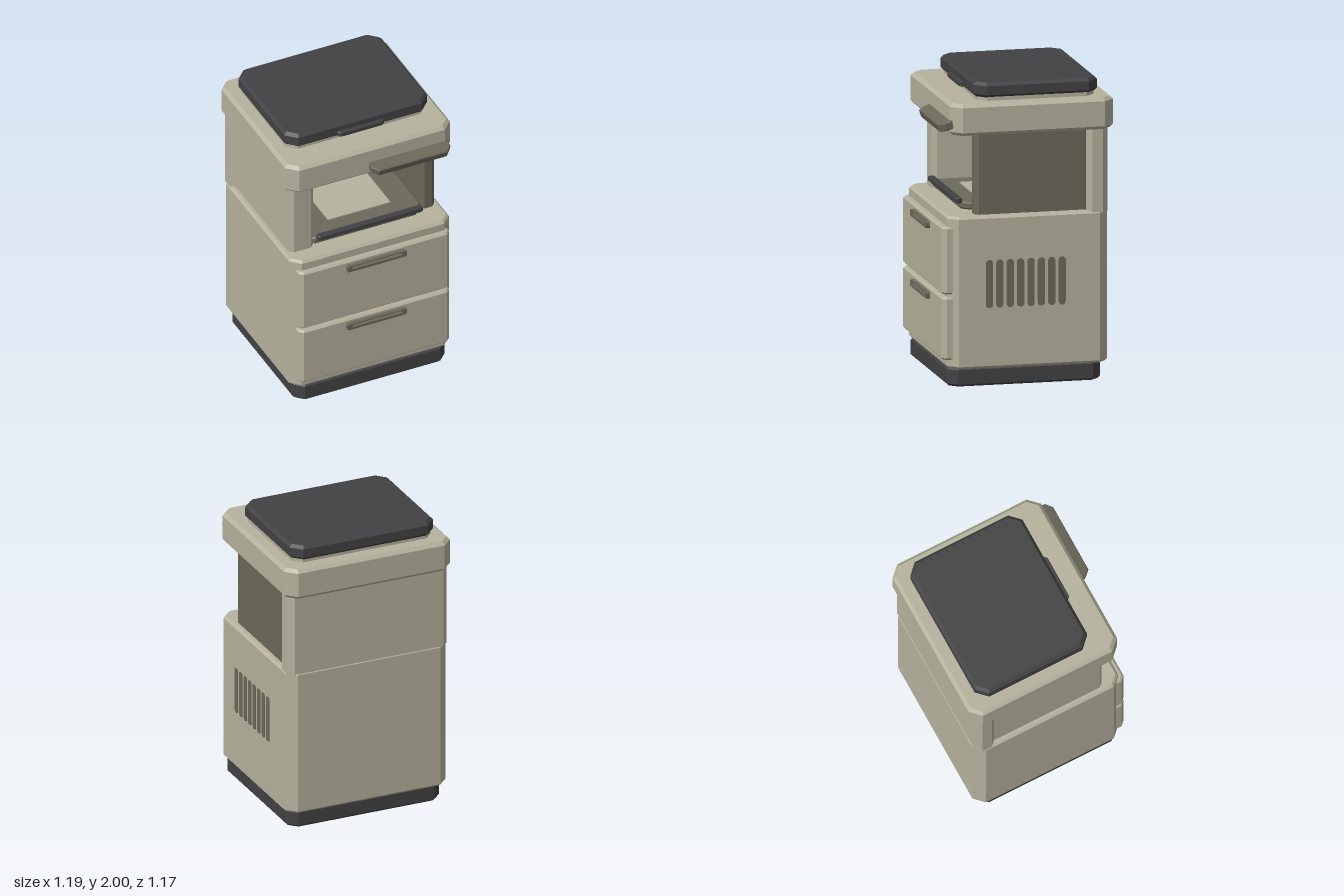
import * as THREE from 'three';

const beige = new THREE.MeshStandardMaterial({ color: 0xb6b29e });
beige.name = 'warm beige';
const olive = new THREE.MeshStandardMaterial({ color: 0x6c695a });
olive.name = 'dark olive grey';
const charcoal = new THREE.MeshStandardMaterial({ color: 0x424244 });
charcoal.name = 'charcoal';

// Rectangle with cut corners
function cutRect(x0, x1, y0, y1, c, Type = THREE.Shape) {
  const s = new Type();
  s.moveTo(x0 + c, y0);
  s.lineTo(x1 - c, y0);
  s.lineTo(x1, y0 + c);
  s.lineTo(x1, y1 - c);
  s.lineTo(x1 - c, y1);
  s.lineTo(x0 + c, y1);
  s.lineTo(x0, y1 - c);
  s.lineTo(x0, y0 + c);
  s.closePath();
  return s;
}

// Upright slab with cut vertical corners and bevelled top and bottom edges
function slab(name, material, [x0, x1], [y0, y1], [z0, z1], cut, bevel) {
  const geo = new THREE.ExtrudeGeometry(cutRect(x0, x1, -z1, -z0, cut), {
    depth: y1 - y0 - 2 * bevel,
    bevelEnabled: bevel > 0,
    bevelSegments: 1,
    bevelSize: bevel,
    bevelThickness: bevel,
    bevelOffset: -bevel,
  });
  geo.translate(0, 0, bevel).rotateX(-Math.PI / 2).translate(0, y0, 0);
  const mesh = new THREE.Mesh(geo, material);
  mesh.name = name;
  return mesh;
}

// Drawer front with a framed pull handle
function drawer(name, y0, y1) {
  const g = new THREE.Group();
  g.name = name;
  g.add(slab('drawerFront', beige, [-0.545, 0.545], [y0, y1], [0.45, 0.558], 0.03, 0.012));
  const frame = cutRect(-0.215, 0.213, y1 - 0.07, y1 - 0.025, 0.008);
  frame.holes.push(cutRect(-0.18, 0.18, y1 - 0.052, y1 - 0.033, 0.003, THREE.Path));
  const handle = new THREE.Mesh(
    new THREE.ExtrudeGeometry(frame, { depth: 0.04, bevelEnabled: false }), olive);
  handle.position.z = 0.546;
  handle.name = 'drawerHandle';
  g.add(handle);
  return g;
}

export function createModel() {
  const model = new THREE.Group();
  model.name = 'officeCopier';

  // Plinth and cabinet
  model.add(
    slab('plinth', charcoal, [-0.547, 0.547], [0, 0.125], [-0.51, 0.515], 0.06, 0.015),
    slab('cabinet', beige, [-0.577, 0.577], [0.12, 1.13], [-0.553, 0.52], 0.065, 0.016),
    drawer('lowerDrawer', 0.18, 0.595),
    drawer('upperDrawer', 0.615, 1.062),
  );

  // Ventilation slots on the left side
  const slot = new THREE.Shape();
  slot.absarc(0, 0.136, 0.024, 0, Math.PI, false);
  slot.absarc(0, -0.136, 0.024, Math.PI, 2 * Math.PI, false);
  slot.closePath();
  const slotGeo = new THREE.ExtrudeGeometry(slot, { depth: 0.008, bevelEnabled: false, curveSegments: 8 });
  const vents = new THREE.Group();
  vents.name = 'vents';
  for (let i = 0; i < 8; i++) {
    const v = new THREE.Mesh(slotGeo, olive);
    v.name = 'ventSlot';
    v.rotation.y = Math.PI / 2;
    v.position.set(0.573, 0.68, 0.252 - i * 0.0695);
    vents.add(v);
  }
  model.add(vents);

  // Open output bay: back section, side walls and dark lining
  model.add(
    slab('bayBack', beige, [-0.572, 0.572], [1.12, 1.69], [-0.55, -0.40], 0.04, 0),
    slab('rightWall', beige, [-0.542, -0.36], [1.12, 1.69], [-0.45, 0.40], 0.03, 0),
    slab('leftWall', olive, [0.43, 0.54], [1.135, 1.69], [-0.43, 0.34], 0.028, 0),
    slab('bayLining', olive, [-0.37, 0.45], [1.13, 1.68], [-0.42, -0.392], 0.001, 0),
  );

  // Output tray with front lip and a sheet lying on it
  model.add(
    slab('tray', olive, [-0.42, 0.425], [1.145, 1.195], [-0.40, 0.40], 0.06, 0.01),
    slab('trayLip', charcoal, [-0.35, 0.405], [1.188, 1.222], [0.39, 0.435], 0.012, 0.005),
    slab('sheet', beige, [-0.2, 0.25], [1.194, 1.202], [-0.14, 0.26], 0.001, 0),
  );

  // Scanner deck, glass bed and lid
  model.add(
    slab('scannerDeck', beige, [-0.594, 0.594], [1.67, 1.88], [-0.588, 0.505], 0.07, 0.022),
    slab('scannerBed', beige, [-0.5, 0.5], [1.87, 1.91], [-0.48, 0.305], 0.06, 0),
    slab('lid', charcoal, [-0.515, 0.515], [1.9, 2], [-0.5, 0.326], 0.07, 0.02),
    slab('lidHandle', charcoal, [-0.168, 0.168], [1.912, 1.946], [0.29, 0.352], 0.02, 0.004),
  );

  // Control panel, sloping down towards the front
  const panel = slab('controlPanel', olive, [-0.022, 0.545], [-0.028, 0.028], [-0.08, 0.05], 0.04, 0.006);
  panel.position.set(0, 1.731, 0.53);
  panel.rotation.x = 0.3;
  model.add(panel);

  return model;
}
